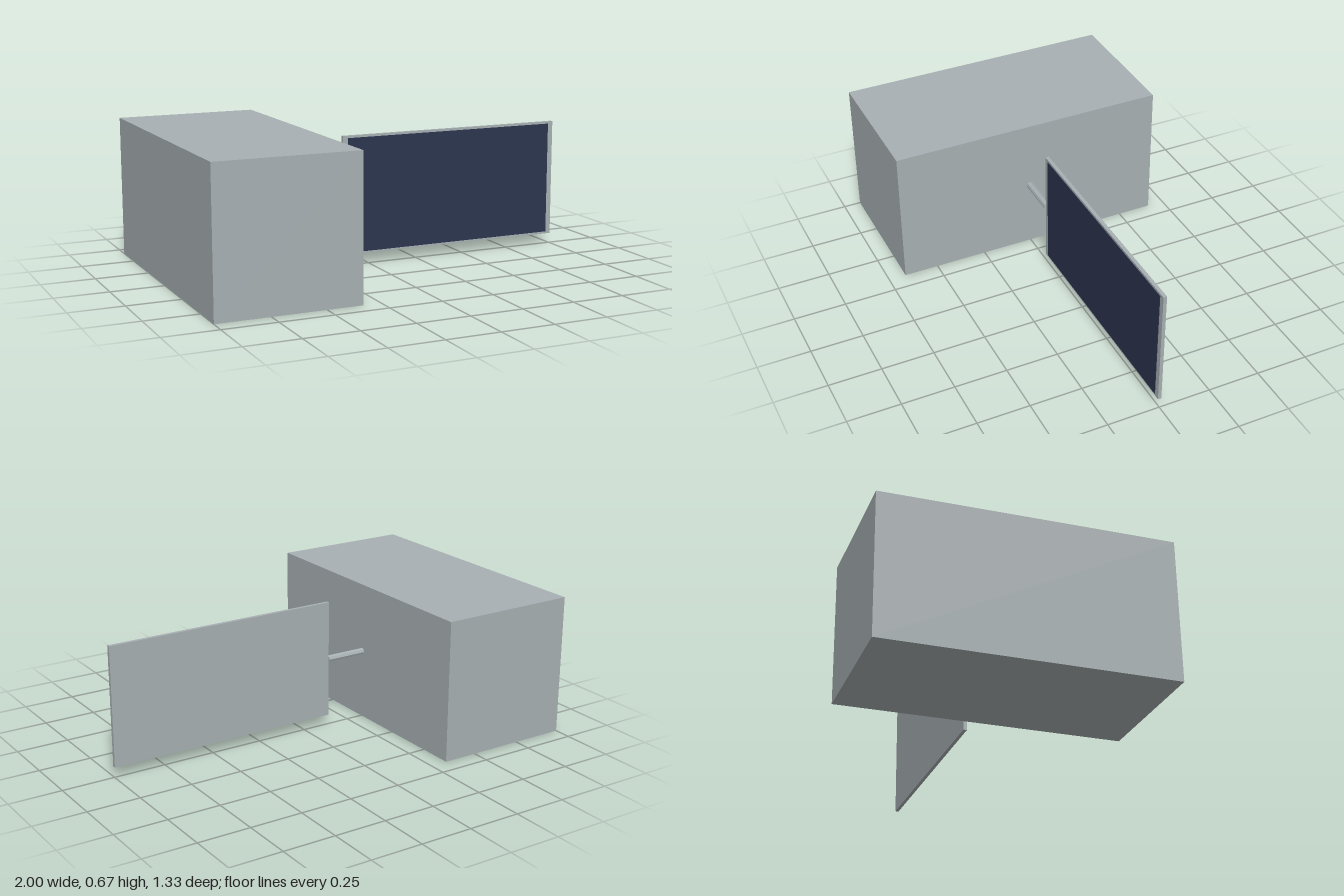
import * as THREE from 'three';

export function createModel() {
  const model = new THREE.Group();
  const grey = new THREE.MeshStandardMaterial({ name: 'light grey metal', color: 0xa8b0b3, flatShading: true });
  const navy = new THREE.MeshStandardMaterial({ name: 'navy solar cells', color: 0x2c3550, flatShading: true });

  const add = (name, geometry, material, x, y, z) => {
    const mesh = new THREE.Mesh(geometry, material);
    mesh.name = name;
    mesh.position.set(x, y, z);
    model.add(mesh);
    return mesh;
  };
  const midY = 1 / 3;

  // Main box, long from front to back
  add('body', new THREE.BoxGeometry(2 / 3, 2 / 3, 4 / 3), grey, -2 / 3, midY, 0);

  // Short rod joining the body to the panel
  const boom = add('boom', new THREE.CylinderGeometry(0.0167, 0.0167, 0.2, 8), grey, -0.2333, midY, 0);
  boom.rotation.z = Math.PI / 2;

  // Thin panel with a dark cell sheet on its front face
  add('panelFrame', new THREE.BoxGeometry(1.1333, 0.5667, 0.0167), grey, 0.4333, midY, 0);
  add('solarCells', new THREE.BoxGeometry(1.08, 0.545, 0.003), navy, 0.4333, midY, 0.0093);

  return model;
}
